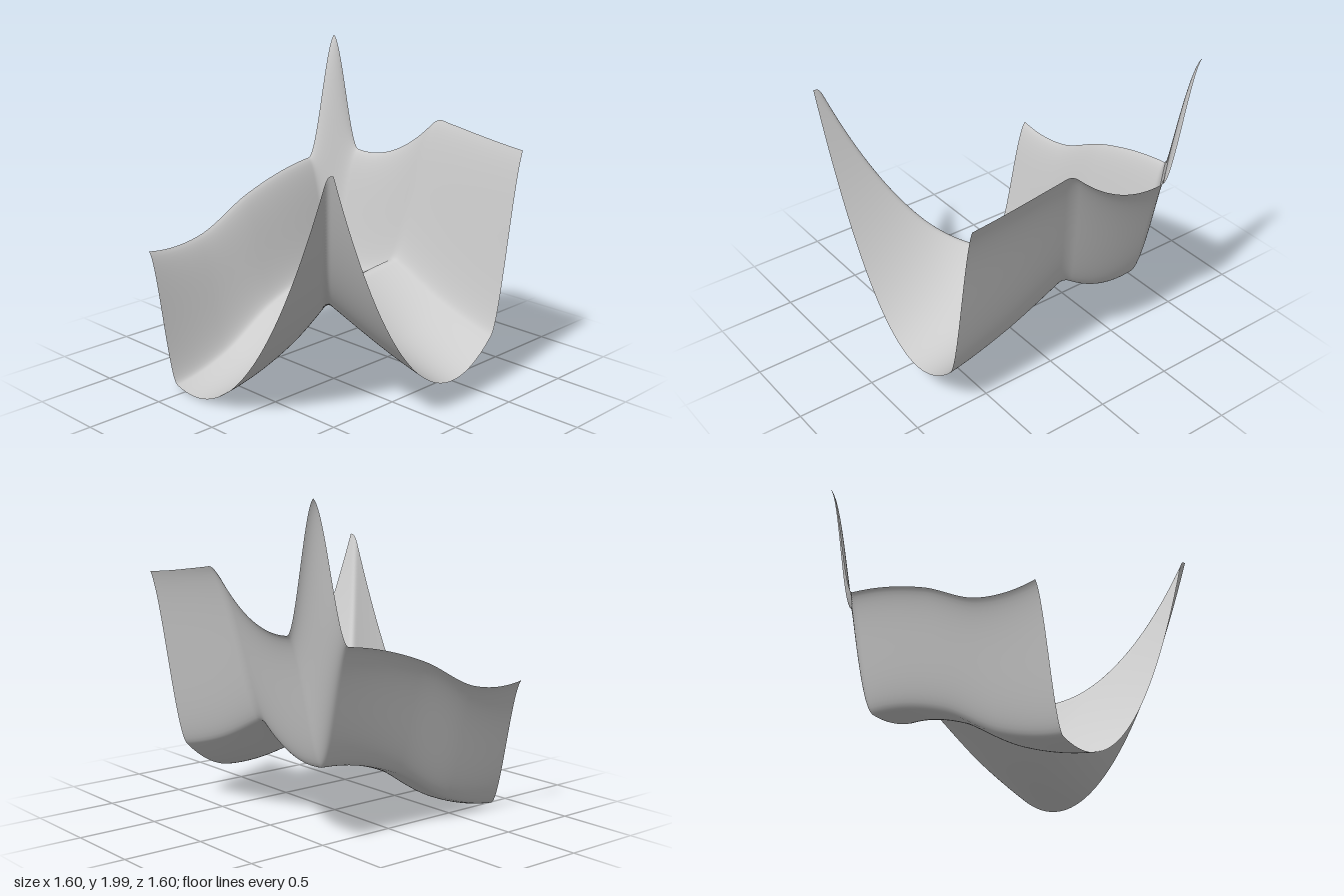
import * as THREE from 'three';

const HALF = 0.8;

// Smooth curve through five values evenly spaced from -0.8 to 0.8
function curve(v) {
  const n = v.length;
  const p = [3 * v[0] - 3 * v[1] + v[2], ...v, 3 * v[n - 1] - 3 * v[n - 2] + v[n - 3]];
  return (t) => {
    const u = ((t + HALF) / (2 * HALF)) * (n - 1);
    const i = Math.min(Math.max(Math.floor(u), 0), n - 2);
    const f = u - i;
    const [a, b, c, d] = p.slice(i, i + 4);
    return b + 0.5 * f * (c - a + f * (2 * a - 5 * b + 4 * c - d + f * (3 * (b - c) + d - a)));
  };
}

// Valley running front to back: floor height, steepness and centre line along z
const floorA = curve([0.46, 0.46, 0.34, 0.11, 0]);
const steepA = curve([0.83, 0.95, 1.03, 1.06, 1.17]);
const centreA = curve([-0.5, -0.48, -0.46, -0.44, -0.42]);
// Valley running off to the side: floor height and steepness along x
const floorB = curve([1.2, 0.78, 0.56, 0.32, 0.17]);
const steepB = curve([0.4, 0.5, 0.7, 1.17, 1.45]);

// Lower of two heights, with the ridge between them rounded
function softMin(a, b, k) {
  const h = Math.max(k - Math.abs(a - b), 0) / k;
  return Math.min(a, b) - (h * h * k) / 4;
}

function height(x, z) {
  const a = floorA(z) + steepA(z) * (x - centreA(z)) ** 2;
  const b = floorB(x) + steepB(x) * (z + 0.2) ** 2;
  // Steep walls along the back and one side
  const backWall = 0.79 * THREE.MathUtils.smoothstep(-z, 0.56, 0.81);
  const sideWall = (0.59 + 0.13 * z * z) * THREE.MathUtils.smoothstep(-x, 0.57, 0.8);
  return softMin(a, b, 0.06) + backWall + sideWall;
}

export function createModel() {
  const group = new THREE.Group();
  group.name = 'twoValleySurface';

  // One thin sheet, lifted by the height rule
  const geometry = new THREE.PlaneGeometry(2 * HALF, 2 * HALF, 160, 160);
  geometry.rotateX(-Math.PI / 2);
  const pos = geometry.attributes.position;
  for (let i = 0; i < pos.count; i++) {
    pos.setY(i, Math.max(0, height(pos.getX(i), pos.getZ(i))));
  }
  geometry.computeVertexNormals();

  const sheet = new THREE.Mesh(
    geometry,
    new THREE.MeshStandardMaterial({ color: 0xcccccc, side: THREE.DoubleSide })
  );
  sheet.name = 'curvedSheet';
  group.add(sheet);
  return group;
}
